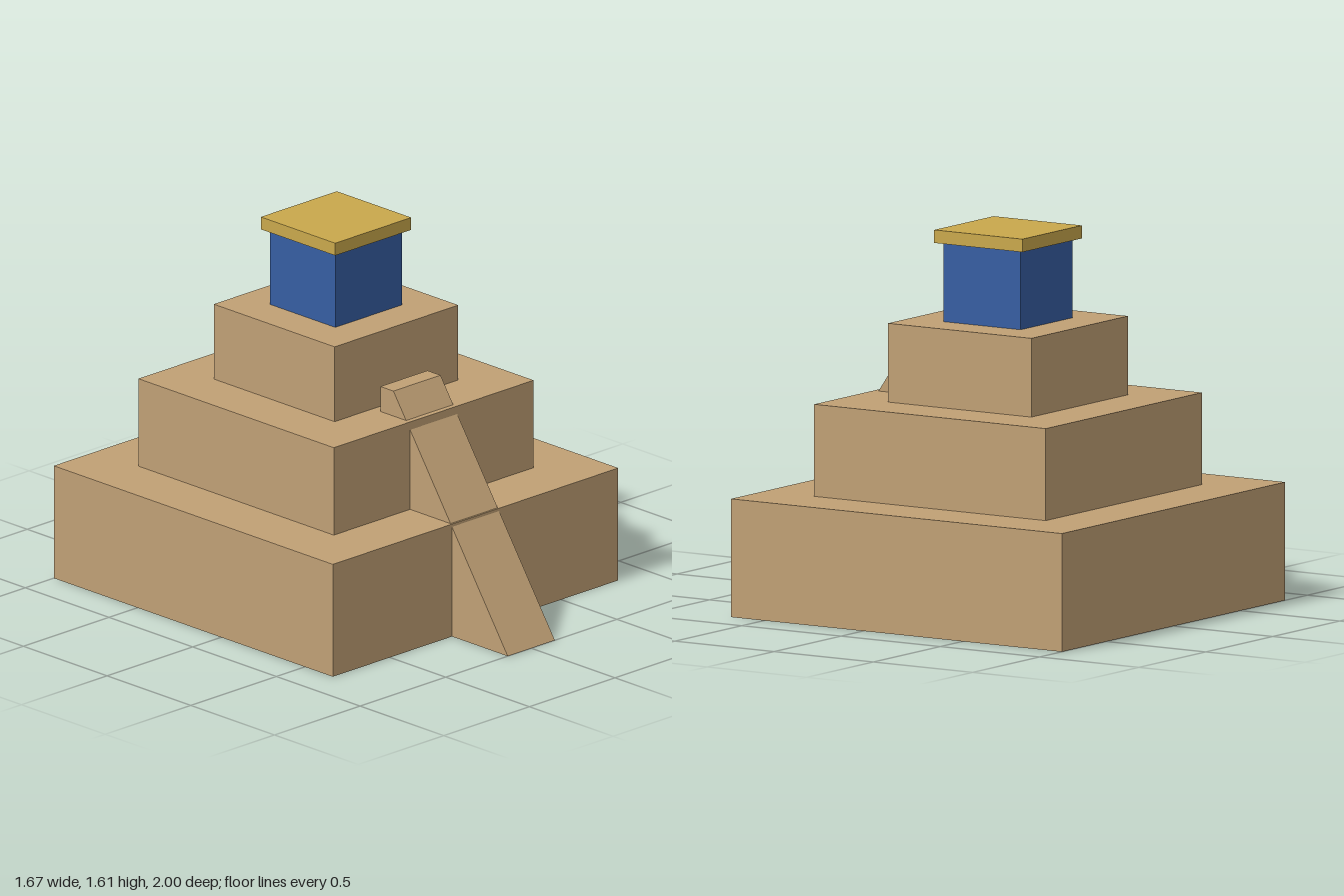
import * as THREE from 'three';

const material = (name, color) => {
  const m = new THREE.MeshStandardMaterial({ color });
  m.name = name;
  return m;
};

export function createModel() {
  const model = new THREE.Group();
  model.name = 'steppedTemple';

  const stone = material('sandstone', 0xc0a075);
  const blue = material('glazedBlue', 0x365ea2);
  const gold = material('gold', 0xc9a84c);
  const centreZ = -1 / 6; // the tower is set back to leave room for the ramp

  // Square block standing between two heights
  const block = (name, size, bottom, top, mat) => {
    const mesh = new THREE.Mesh(new THREE.BoxGeometry(size, top - bottom, size), mat);
    mesh.name = name;
    mesh.position.set(0, (bottom + top) / 2, centreZ);
    model.add(mesh);
  };

  // Three terraces, then the shrine and its roof
  block('lowerTerrace', 1.667, 0, 0.5, stone);
  block('middleTerrace', 1.167, 0.5, 0.889, stone);
  block('upperTerrace', 0.722, 0.889, 1.222, stone);
  block('shrine', 0.389, 1.222, 1.556, blue);
  block('shrineRoof', 0.444, 1.556, 1.611, gold);

  // Ramp: side profile (z, y) extruded across x
  const profile = new THREE.Shape([
    [1, 0], [0.317, 1], [0.239, 1], [0.239, 0],
  ].map(([z, y]) => new THREE.Vector2(z, y)));
  const width = 0.275;
  const rampGeometry = new THREE.ExtrudeGeometry(profile, { depth: width, bevelEnabled: false });
  rampGeometry.translate(0, 0, -width / 2).rotateY(-Math.PI / 2);
  const ramp = new THREE.Mesh(rampGeometry, stone);
  ramp.name = 'frontRamp';
  model.add(ramp);

  return model;
}
